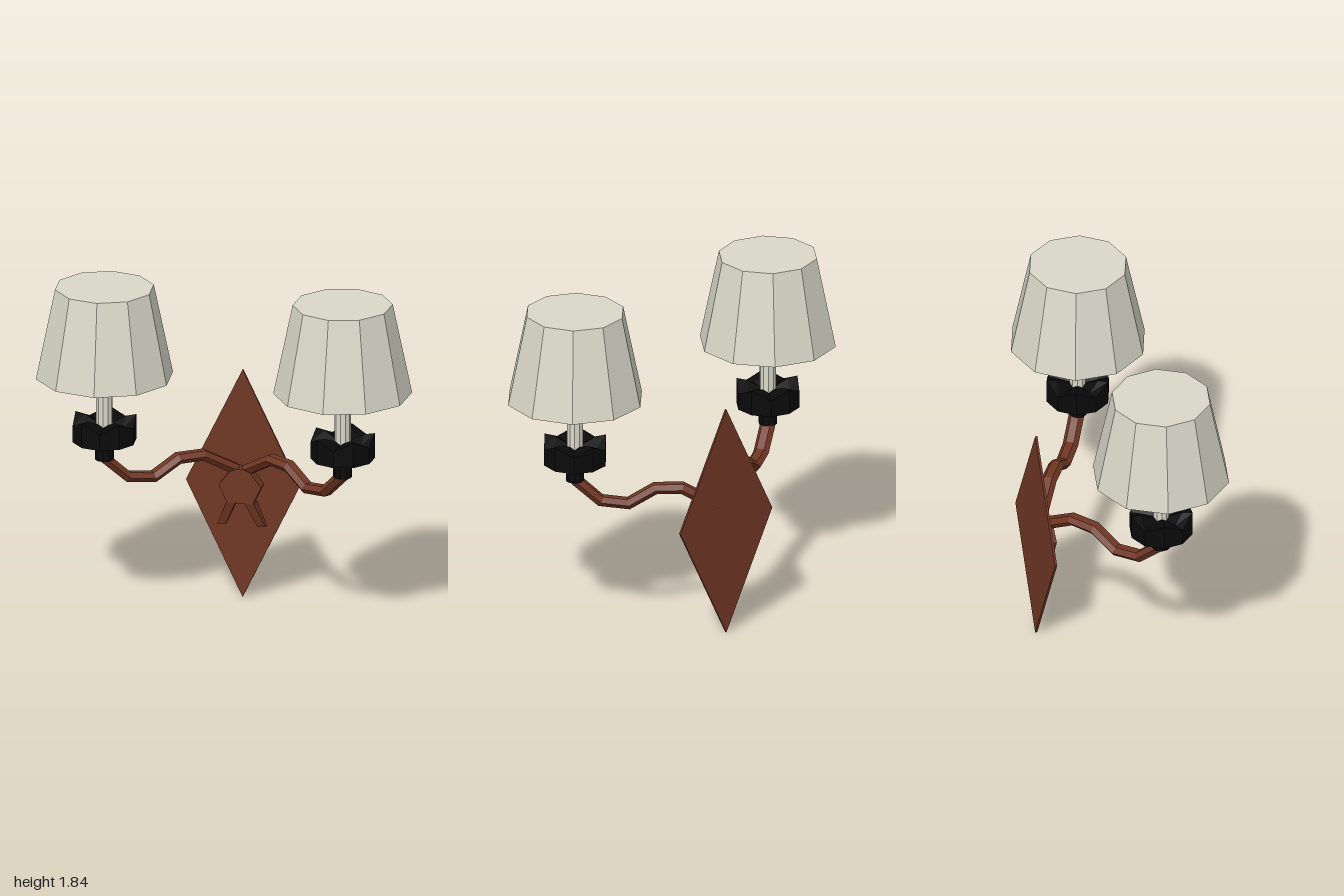
import * as THREE from 'three';

const rad = THREE.MathUtils.degToRad;

function material(name, color, side = THREE.FrontSide) {
  const m = new THREE.MeshStandardMaterial({ color, flatShading: true, side });
  m.name = name;
  return m;
}

function part(name, geometry, mat) {
  const mesh = new THREE.Mesh(geometry, mat);
  mesh.name = name;
  return mesh;
}

// Flat outline pushed forward from z0 to z1
function slab(points, z0, z1) {
  const shape = new THREE.Shape(points.map(([x, y]) => new THREE.Vector2(x, y)));
  return new THREE.ExtrudeGeometry(shape, { depth: z1 - z0, bevelEnabled: false }).translate(0, 0, z0);
}

// Six-sided bar with mitred bends, following a path in one vertical plane
function bentBar(path, halfWidth, halfHeight) {
  const sides = 6, positions = [], index = [];
  const heading = path[path.length - 1].clone().sub(path[0]).setY(0).normalize();
  const across = heading.clone().cross(new THREE.Vector3(0, 1, 0));
  path.forEach((p, i) => {
    const a = path[Math.max(i - 1, 0)], b = path[Math.min(i + 1, path.length - 1)];
    const up = across.clone().cross(b.clone().sub(a).normalize());
    for (let k = 0; k < sides; k++) {
      const t = (k / sides) * Math.PI * 2;
      const v = p.clone().addScaledVector(across, Math.cos(t) * halfWidth)
        .addScaledVector(up, Math.sin(t) * halfHeight);
      positions.push(v.x, v.y, v.z);
    }
  });
  for (let i = 0; i < path.length - 1; i++) {
    for (let k = 0; k < sides; k++) {
      const a = i * sides + k, b = i * sides + (k + 1) % sides;
      index.push(a, b, a + sides, b, b + sides, a + sides);
    }
  }
  const g = new THREE.BufferGeometry();
  g.setAttribute('position', new THREE.Float32BufferAttribute(positions, 3));
  g.setIndex(index);
  g.computeVertexNormals();
  return g;
}

// Ten-sided cup whose rim rises to five points
function crownCup(peakAngle) {
  const profile = [[0, 0.98], [0.17, 0.98], [0.17, 1.118], [0.115, 1.112], [0, 1.06]];
  const g = new THREE.LatheGeometry(profile.map(([r, y]) => new THREE.Vector2(r, y)), 10, peakAngle);
  const pos = g.attributes.position;
  for (let i = 0; i < pos.count; i++) {
    const segment = Math.floor(i / profile.length);
    if (segment % 2 === 1 && pos.getY(i) > 1.1) pos.setY(i, 1.07);
  }
  return g;
}

export function createModel() {
  const bronze = material('bronze', 0x703624, THREE.DoubleSide);
  const black = material('black iron', 0x0a0a0a, THREE.DoubleSide);
  const cream = material('cream shade', 0xd9d8c9, THREE.DoubleSide);
  const model = new THREE.Group();
  model.name = 'wallLamp';

  // Diamond wall plate and hub
  model.add(part('wallPlate', slab([[0, 0], [0.306, 0.635], [0, 1.27], [-0.306, 0.635]], -0.42, -0.408), bronze));
  model.add(part('hub', slab([
    [0.07, 0.545], [0.115, 0.64], [0.042, 0.735], [-0.042, 0.735], [-0.115, 0.64], [-0.07, 0.545],
  ], -0.41, -0.34), bronze));

  for (const s of [1, -1]) {
    const sideName = s > 0 ? 'left' : 'right';

    // Splayed foot below the hub, thinning towards its tip
    const foot = slab([[0.025 * s, 0.545], [0.075 * s, 0.545], [0.13 * s, 0.412], [0.085 * s, 0.412]], -0.41, -0.34);
    const pos = foot.attributes.position;
    for (let i = 0; i < pos.count; i++) {
      if (pos.getY(i) < 0.5 && pos.getZ(i) > -0.35) pos.setZ(i, -0.375);
    }
    model.add(part(sideName + 'Foot', foot, bronze));

    // Wavy arm from the hub out to the lamp
    const bends = [[0.03, 0.72], [0.185, 0.825], [0.3, 0.825], [0.415, 0.742], [0.535, 0.762], [0.645, 0.885]];
    const path = bends.map(([x, y]) => new THREE.Vector3(x * s, y, 0.05 - (0.645 - x) * 0.71));
    model.add(part(sideName + 'Arm', bentBar(path, 0.042, 0.032), bronze));

    // Lamp: socket, cup, candle tube and shade
    const lamp = new THREE.Group();
    lamp.name = sideName + 'Lamp';
    lamp.position.set(0.643 * s, 0, 0.052);
    const turn = rad(-4 * s);
    lamp.add(part('socket', new THREE.CylinderGeometry(0.05, 0.05, 0.11, 10, 1, false, turn).translate(0, 0.932, 0), black));
    lamp.add(part('cup', crownCup(rad(104 * s)), black));
    lamp.add(part('candleTube', new THREE.CylinderGeometry(0.044, 0.044, 0.54, 10, 1, false, turn).translate(0, 1.33, 0), cream));
    lamp.add(part('shade', new THREE.CylinderGeometry(0.264, 0.366, 0.492, 10, 1, true, turn).translate(0, 1.589, 0), cream));
    lamp.add(part('shadeTop', new THREE.CircleGeometry(0.264, 10).rotateX(-Math.PI / 2)
      .rotateY(turn - Math.PI / 2).translate(0, 1.835, 0), cream));
    model.add(lamp);
  }
  return model;
}
